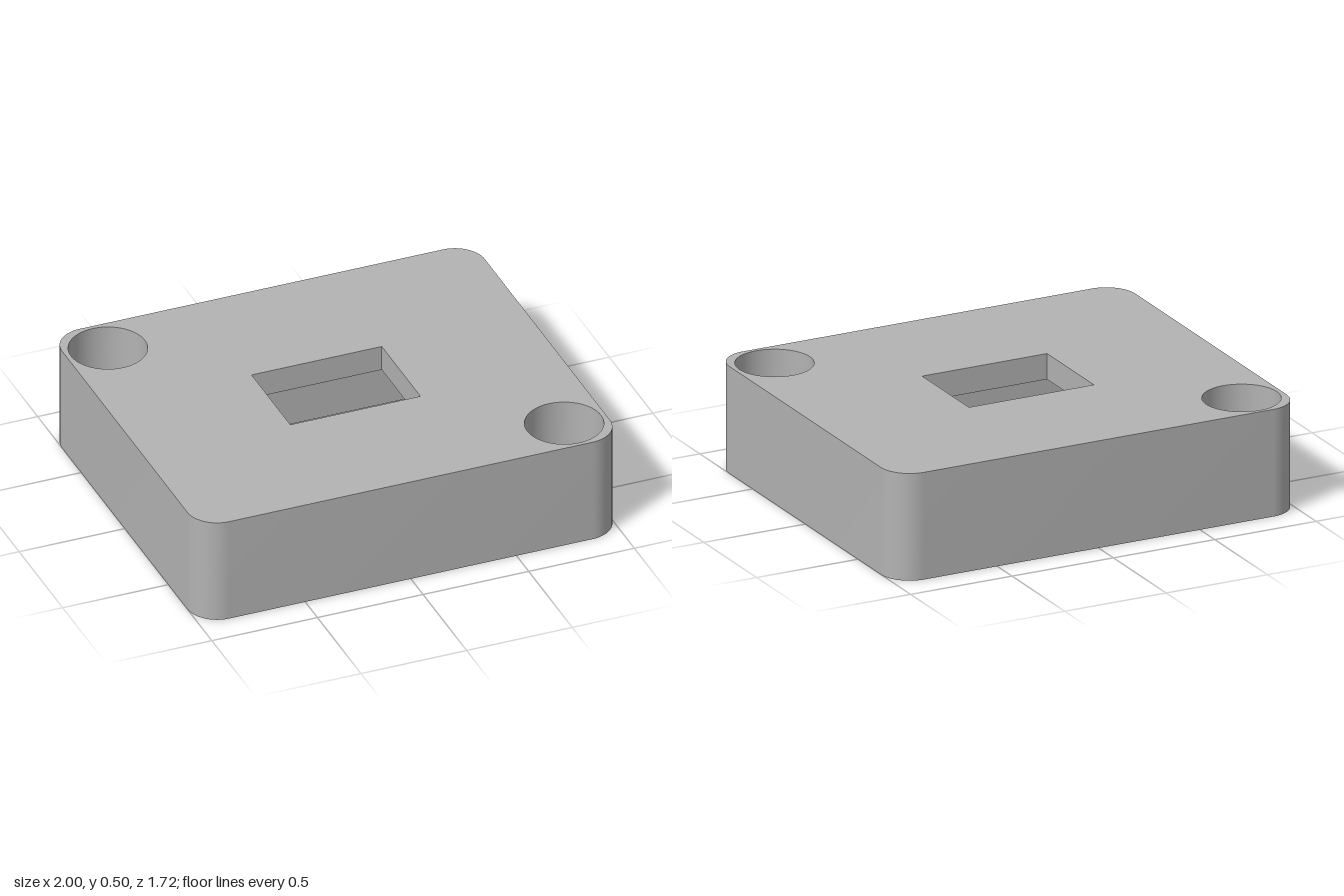
import * as THREE from 'three';
import { toCreasedNormals } from 'three/addons/utils/BufferGeometryUtils.js';

const HEIGHT = 0.5, CEILING = 0.38, BORE_FLOOR = 0.25;

// Outlines run counter-clockwise in (x, -z)
function arc(cx, cy, r, from, sweep, steps) {
  return Array.from({ length: steps }, (_, i) => {
    const a = from + (sweep * i) / steps;
    return new THREE.Vector2(cx + r * Math.cos(a), cy + r * Math.sin(a));
  });
}
const circle = (cx, cy, r) => arc(cx, cy, r, 0, Math.PI * 2, 64);
const rect = (w, d) =>
  [[w, -d], [w, d], [-w, d], [-w, -d]].map(([x, y]) => new THREE.Vector2(x, y));

function roundedRect(w, d, r) {
  const steps = 16, points = [];
  [[1, 1], [-1, 1], [-1, -1], [1, -1]].forEach(([sx, sy], i) => {
    const cx = sx * (w - r), cy = sy * (d - r), start = (i * Math.PI) / 2;
    points.push(...arc(cx, cy, r, start, Math.PI / 2, steps));
    const end = start + Math.PI / 2;
    points.push(new THREE.Vector2(cx + r * Math.cos(end), cy + r * Math.sin(end)));
  });
  return points;
}

// Vertical wall along an outline; inward walls line a hole
function wall(outline, y0, y1, inward = false) {
  const pts = inward ? [...outline].reverse() : outline;
  const position = [];
  pts.forEach((p, i) => {
    const q = pts[(i + 1) % pts.length];
    position.push(p.x, y0, -p.y, q.x, y0, -q.y, q.x, y1, -q.y);
    position.push(p.x, y0, -p.y, q.x, y1, -q.y, p.x, y1, -p.y);
  });
  const geo = new THREE.BufferGeometry();
  geo.setAttribute('position', new THREE.Float32BufferAttribute(position, 3));
  return toCreasedNormals(geo, 0.5);
}

// Level face with holes, facing up or down
function face(outline, holes, y, down = false) {
  const shape = new THREE.Shape(outline);
  shape.holes = holes.map((h) => new THREE.Path(h));
  const geo = new THREE.ShapeGeometry(shape);
  geo.rotateX(-Math.PI / 2).translate(0, y, 0);
  if (down) {
    geo.index.array.reverse();
    geo.computeVertexNormals();
  }
  return geo;
}

export function createModel() {
  const group = new THREE.Group();
  group.name = 'mountingBlock';
  const grey = new THREE.MeshStandardMaterial({ color: 0xb3b3b3 });
  grey.name = 'grey';
  const add = (name, geo) => {
    const mesh = new THREE.Mesh(geo, grey);
    mesh.name = name;
    group.add(mesh);
  };

  const body = roundedRect(1, 0.86, 0.14);
  const pocket = rect(0.69, 0.52);
  const opening = rect(0.308, 0.222);
  const centres = [[-0.805, 0.667], [0.805, -0.667]];
  const bores = centres.map(([x, y]) => circle(x, y, 0.174));
  const holes = centres.map(([x, y]) => circle(x, y, 0.097));

  // Outer shell
  add('outerWall', wall(body, 0, HEIGHT));
  add('topFace', face(body, [opening, ...bores], HEIGHT));
  add('bottomRim', face(body, [pocket, ...holes], 0, true));

  // Underside pocket and the window through its ceiling
  add('pocketWall', wall(pocket, 0, CEILING, true));
  add('pocketCeiling', face(pocket, [opening], CEILING, true));
  add('windowWall', wall(opening, CEILING, HEIGHT, true));

  // Counterbored screw holes in opposite corners
  bores.forEach((bore, i) => {
    add('counterboreWall', wall(bore, BORE_FLOOR, HEIGHT, true));
    add('counterboreFloor', face(bore, [holes[i]], BORE_FLOOR));
    add('screwHoleWall', wall(holes[i], 0, BORE_FLOOR, true));
  });
  return group;
}
